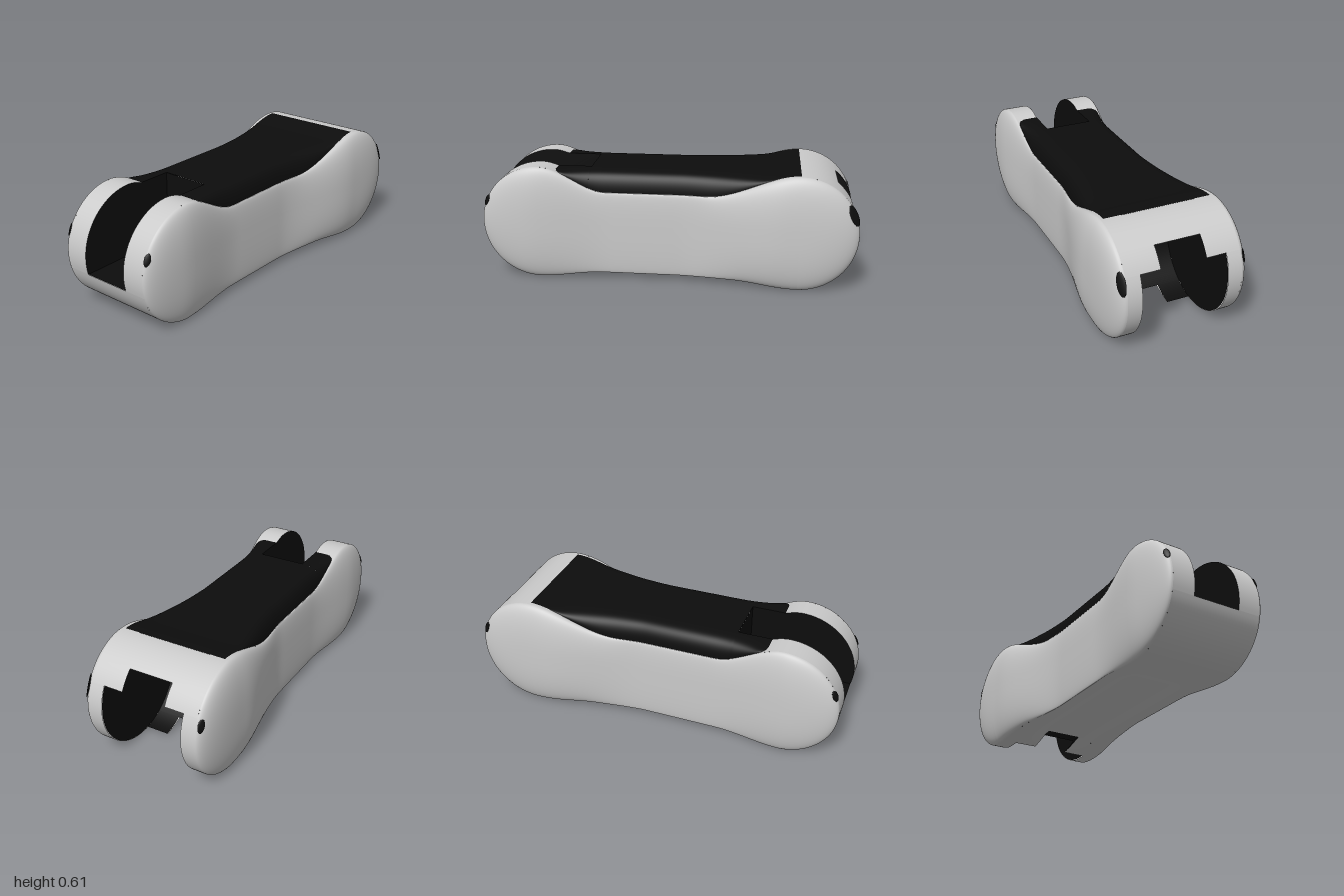
import * as THREE from 'three';

const R = 0.306, CX = 0.69, CY = 0.306;

// Smooth piecewise interpolation through [x, value] keys
function ease(keys, x) {
  if (x <= keys[0][0]) return keys[0][1];
  for (let i = 1; i < keys.length; i++) {
    const [a, p] = keys[i - 1], [b, q] = keys[i];
    if (x <= b) return p + (q - p) * THREE.MathUtils.smoothstep(x, a, b);
  }
  return keys[keys.length - 1][1];
}
const topY = x => ease([[-CX, 0.612], [-0.33, 0.48], [0.2, 0.48], [CX, 0.612]], x);
const bottomY = x => ease([[-CX, 0], [-0.35, 0.03], [0.35, 0.03], [CX, 0]], x);
const halfWidth = x => ease([[-0.78, 0.31], [-0.3, 0.26], [0.05, 0.26], [0.62, 0.365]], x);
const dome = x => ease([[-0.78, 0.058], [-0.3, 0.015], [0.1, 0.015], [0.62, 0.065]], x);
const rim = x => halfWidth(x) - dome(x);

// Bone-shaped outline: t 0-1 right arc, 1-2 top, 2-3 left arc, 3-4 bottom
function outline(t) {
  if (t <= 1 || (t > 2 && t <= 3)) {
    const a = t <= 1 ? (t - 0.5) * Math.PI : (t - 1.5) * Math.PI;
    return [(t <= 1 ? CX : -CX) + R * Math.cos(a), CY + R * Math.sin(a)];
  }
  const x = t <= 2 ? CX - 2 * CX * (t - 1) : -CX + 2 * CX * (t - 3);
  return [x, t <= 2 ? topY(x) : bottomY(x)];
}

// Surface from a function of u, v in 0..1; front side along du x dv
function patch(nu, nv, fn) {
  const pos = [], idx = [];
  for (let i = 0; i <= nu; i++) for (let j = 0; j <= nv; j++) pos.push(...fn(i / nu, j / nv));
  for (let i = 0; i < nu; i++) for (let j = 0; j < nv; j++) {
    const a = i * (nv + 1) + j, b = a + nv + 1;
    idx.push(a, b, b + 1, a, b + 1, a + 1);
  }
  const g = new THREE.BufferGeometry();
  g.setAttribute('position', new THREE.Float32BufferAttribute(pos, 3));
  g.setIndex(idx);
  g.computeVertexNormals();
  return g;
}

export function createModel() {
  const model = new THREE.Group();
  const grey = new THREE.MeshStandardMaterial({ color: 0xcccccc, side: THREE.DoubleSide });
  const dark = new THREE.MeshStandardMaterial({ color: 0x0d0d0d, side: THREE.DoubleSide });
  const add = (name, geo, mat) => {
    const m = new THREE.Mesh(geo, mat);
    m.name = name;
    model.add(m);
    return m;
  };
  const lerp = THREE.MathUtils.lerp;

  // Domed side faces: rings shrink from the outline onto a central spine
  const facePoint = (t, s, side) => {
    const [ox, oy] = outline(t);
    const sx = THREE.MathUtils.clamp(ox, -CX, CX);
    const x = lerp(sx, ox, s), y = lerp(CY, oy, s);
    const z = rim(x) + dome(x) * Math.sqrt(Math.max(0, 1 - Math.pow(s, 2.5)));
    return [x, y, side * z];
  };
  for (const side of [1, -1]) {
    add(side > 0 ? 'frontFace' : 'backFace', patch(192, 20, (u, v) =>
      facePoint((side > 0 ? u : 1 - u) * 4, Math.cos(v * Math.PI / 2), side)), grey);
  }

  // Skin between the faces; inner > 0 leaves a gap of that half width
  const skinPoint = (t, z) => {
    let [x, y] = outline(t);
    if (t > 3) { // shallow channel along the underside
      y += 0.025 * ease([[-0.6, 0], [-0.35, 1], [0.46, 1], [0.66, 0]], x)
        * (1 - THREE.MathUtils.smoothstep(Math.abs(z), 0.1, 0.2));
    }
    return [x, y, z];
  };
  const skin = (name, t0, t1, inner = 0) => {
    const n = Math.max(8, Math.ceil((t1 - t0) * 48));
    const strip = (lo, hi) => add(name, patch(n, 24, (u, v) => {
      const t = lerp(t0, t1, u), r = rim(outline(t)[0]);
      return skinPoint(t, lerp(lo(r), hi(r), v));
    }), grey);
    if (inner === 0) strip(r => -r, r => r);
    else {
      strip(() => inner, r => r);
      strip(r => -r, () => -inner);
    }
  };
  skin('forkSkin', 0, 0.656, 0.225);
  skin('forkUpperSkin', 0.656, 0.777, 0.12);
  skin('forkTopSkin', 0.777, 1);
  skin('panelSeat', 1, 1.804, 0.2);
  skin('slotSkin', 1.804, 2.58, 0.13);
  skin('leftEndSkin', 2.58, 3);
  skin('underside', 3, 3.841);
  skin('undersideNotchSkin', 3.841, 3.964, 0.1);
  skin('undersideForkSkin', 3.964, 4, 0.225);

  // Raised dark cover panel, steep at its sides, with two arms beside the left slot
  const crest = x => Math.max(topY(x), ease([[-0.6, 0.592], [0.5, 0.592], [CX, 0.612]], x));
  const coverPoint = (x, f) => {
    const k = Math.max(0, (-0.55 - x) / 0.05);
    const w = rim(x) - 0.002 - ease([[0.3, 0], [CX, 0.013]], x)
      - 0.04 * (1 - Math.sqrt(Math.max(0, 1 - k * k)));
    const z = f(w), q = Math.min(1, Math.abs(z / w));
    return [x, topY(x) + 0.001 + (crest(x) - topY(x)) * Math.sqrt(1 - q ** 8), z];
  };
  add('coverPanel', patch(60, 60, (u, v) =>
    coverPoint(lerp(CX, -0.42, u), w => -w * Math.cos(v * Math.PI))), dark);
  for (const side of [1, -1]) {
    add('coverArm', patch(20, 24, (u, v) =>
      coverPoint(lerp(-0.42, -0.6, u), w => side * lerp(0.13, w, Math.sin(v * Math.PI / 2)))), dark);
  }

  // Left slot: inner cheek walls reaching up to the cover, floor, end wall, tunnel to the fork
  const cheek = new THREE.Shape();
  cheek.moveTo(-0.42, 0.23);
  for (let i = 0; i <= 60; i++) {
    const [x, y] = outline(lerp(1.804, 2.58, i / 60));
    cheek.lineTo(x, x > -0.6 ? coverPoint(x, () => 0.13)[1] : y);
  }
  const flat = (name, a, b, c) => add(name, patch(1, 1, (u, v) =>
    a.map((p, i) => p + (b[i] - p) * u + (c[i] - p) * v)), dark);
  for (const z of [0.13, -0.13]) {
    add('slotWall', new THREE.ShapeGeometry(cheek), dark).position.z = z;
    flat('tunnelWall', [-0.42, 0.23, z], [0.4, 0.23, z], [-0.42, 0.305, z]);
  }
  flat('tunnelFloor', [-0.985, 0.23, 0.13], [0.4, 0.23, 0.13], [-0.985, 0.23, -0.13]);
  flat('tunnelCeiling', [-0.42, 0.305, 0.13], [0.4, 0.305, 0.13], [-0.42, 0.305, -0.13]);
  flat('slotEndWall', [-0.42, 0.305, 0.13], [-0.42, 0.592, 0.13], [-0.42, 0.305, -0.13]);

  // Fork cavity: round liner (degrees, z range) and cheek walls
  const liner = (d0, d1, z0, z1) => add('forkLiner', patch(24, 1, (u, v) => {
    const a = THREE.MathUtils.degToRad(lerp(d0, d1, u));
    return [CX + 0.303 * Math.cos(a), CY + 0.303 * Math.sin(a), lerp(z1, z0, v)];
  }), dark);
  liner(50, 180, -0.225, 0.225);
  liner(195, 240, -0.225, 0.225);
  for (const s of [1, -1]) {
    liner(28, 50, s * 0.12, s * 0.225);
    liner(180, 195, s * 0.13, s * 0.225);
    liner(240, 262, s * 0.1, s * 0.225);
    add('forkWall', new THREE.CircleGeometry(0.303, 64), dark).position.set(CX, CY, s * 0.225);
  }
  // Dark lip joining the liner to the inner end of the underside notch
  flat('notchLip', [0.468, 0.046, 0.1], [0.5385, 0.0436, 0.1], [0.468, 0.046, -0.1]);

  // Small dark spots set into the rounded end edges
  const spot = (t, s, side, rx, ry) => {
    const p = new THREE.Vector3(...facePoint(t, s, side));
    const along = new THREE.Vector3(...facePoint(t + 0.01, s, side)).sub(p);
    const inward = new THREE.Vector3(...facePoint(t, s - 0.01, side)).sub(p);
    const normal = along.clone().cross(inward).normalize().multiplyScalar(side);
    const m = add('edgeSpot', new THREE.SphereGeometry(1, 24, 12), dark);
    m.position.copy(p);
    m.up.copy(along.normalize());
    m.lookAt(p.clone().add(normal));
    m.scale.set(rx, ry, 0.005);
  };
  spot(0.62, 0.96, -1, 0.018, 0.035);
  spot(0.63, 0.965, 1, 0.025, 0.06);
  spot(2.37, 0.985, 1, 0.016, 0.032);
  spot(2.37, 0.985, -1, 0.016, 0.032);

  return model;
}
